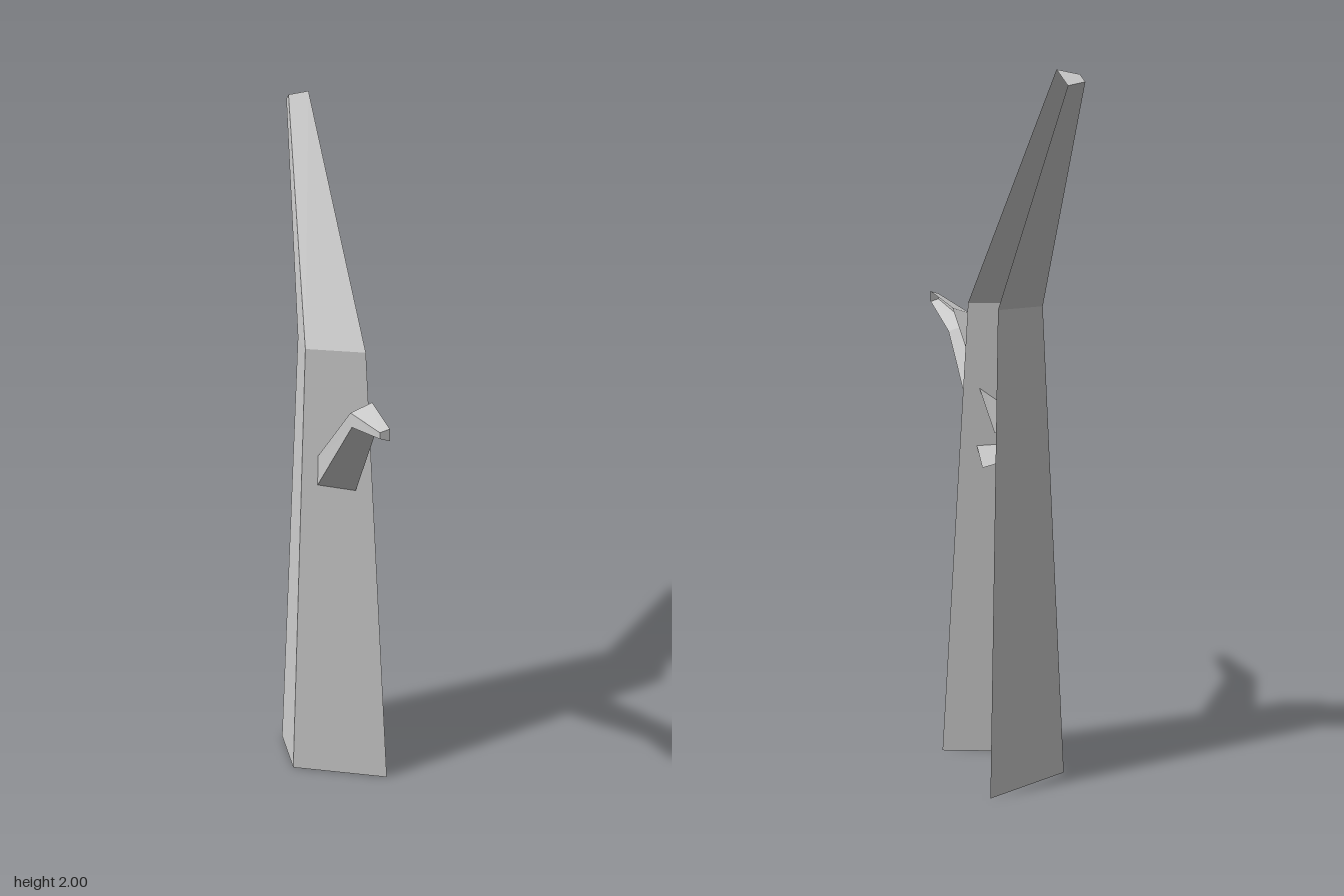
import * as THREE from 'three';

// Each ring: half width, then [z, y] of four corners, running
// from the left (+x) corner around the right side (-x) and back to the left.
const SIDE = [1, -1, -1, 1];

// Three-walled limb, open along its left side and at its base, closed at the tip.
function limb(name, rings, material) {
  const pts = rings.map(([w, ...c]) => c.map(([z, y], i) => [SIDE[i] * w, y, z]));
  const pos = [];
  const quad = (a, b, c, d) => pos.push(...a, ...b, ...c, ...a, ...c, ...d);
  for (let r = 0; r < pts.length - 1; r++) {
    const lo = pts[r], hi = pts[r + 1];
    for (let i = 0; i < 3; i++) quad(lo[i + 1], lo[i], hi[i], hi[i + 1]);
  }
  const [a, b, c, d] = pts[pts.length - 1];
  quad(a, d, c, b);
  const geo = new THREE.BufferGeometry();
  geo.setAttribute('position', new THREE.Float32BufferAttribute(pos, 3));
  geo.computeVertexNormals();
  const mesh = new THREE.Mesh(geo, material);
  mesh.name = name;
  return mesh;
}

export function createModel() {
  const group = new THREE.Group();
  group.name = 'bareTree';
  const bark = new THREE.MeshStandardMaterial({
    color: 0xcccccc, flatShading: true, side: THREE.DoubleSide,
  });

  // Tapering trunk that leans back above the bend
  group.add(limb('trunk', [
    [0.136, [0.115, 0], [0, 0], [-0.187, 0], [-0.304, 0]],
    [0.08, [0.03, 1.365], [-0.038, 1.365], [-0.146, 1.365], [-0.215, 1.365]],
    [0.028, [-0.5, 2], [-0.52, 1.988], [-0.555, 1.968], [-0.575, 1.957]],
  ], bark));

  // Side branch rising out of the front of the trunk
  group.add(limb('branch', [
    [0.055, [-0.02, 0.89], [-0.045, 0.92], [-0.096, 0.978], [-0.12, 1.008]],
    [0.031, [0.348, 1.25], [0.339, 1.27], [0.322, 1.305], [0.31, 1.325]],
    [0.013, [0.575, 1.322], [0.575, 1.33], [0.575, 1.347], [0.575, 1.355]],
  ], bark));

  return group;
}
